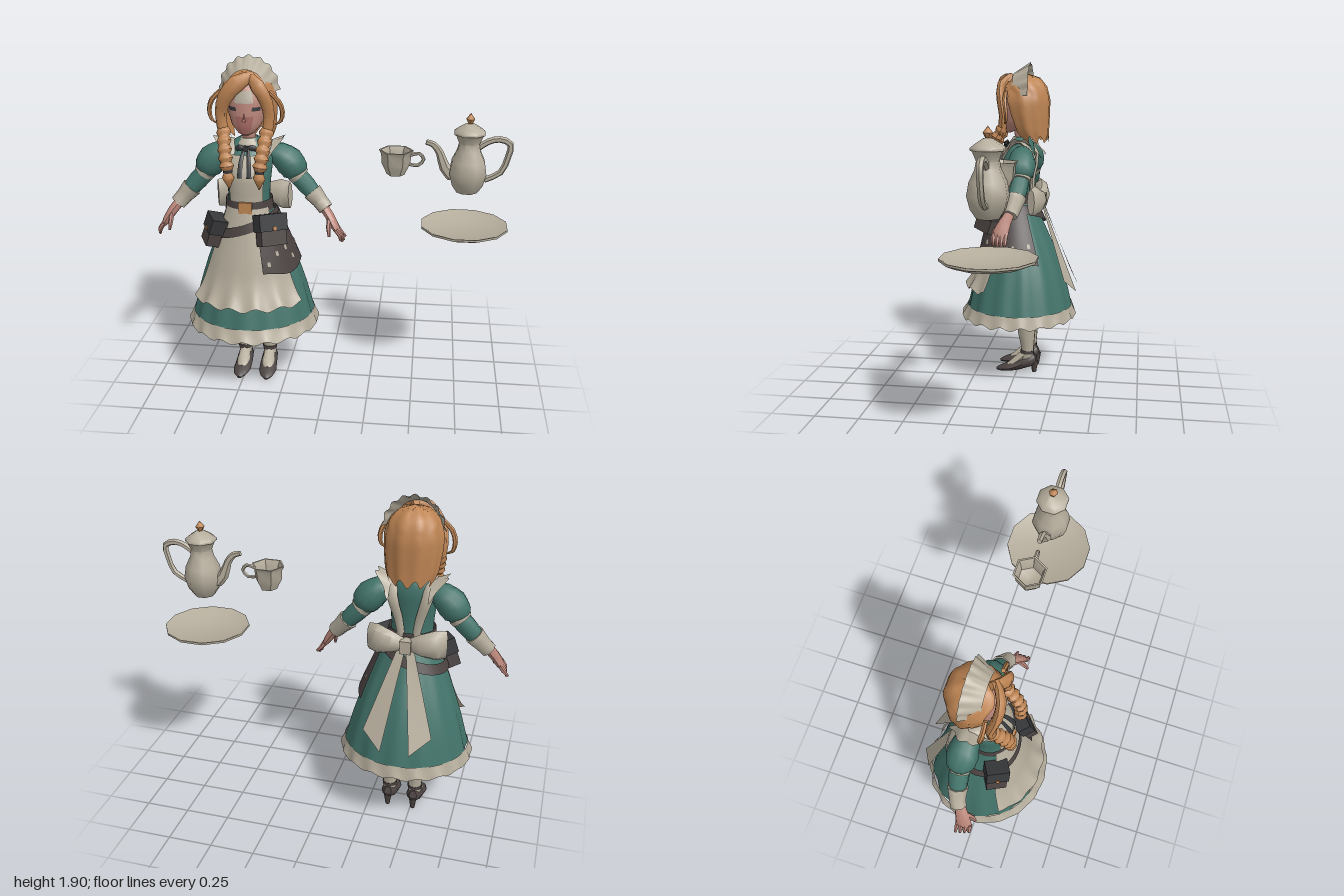
import * as THREE from 'three';
import { toCreasedNormals } from 'three/addons/utils/BufferGeometryUtils.js';

const V = (x, y, z) => new THREE.Vector3(x, y, z);
const lerp = THREE.MathUtils.lerp;

function material(name, color) {
  const m = new THREE.MeshStandardMaterial({ color, side: THREE.DoubleSide });
  m.name = name;
  return m;
}

function build(pos, idx, crease = 0.8) {
  const g = new THREE.BufferGeometry();
  g.setAttribute('position', new THREE.Float32BufferAttribute(pos, 3));
  g.setIndex(idx);
  return toCreasedNormals(g, crease);
}

// Surface from a rule fn(u, v) -> [x, y, z]
function patch(fn, nu, nv) {
  const pos = [], idx = [];
  for (let j = 0; j <= nv; j++) for (let i = 0; i <= nu; i++) pos.push(...fn(i / nu, j / nv));
  for (let j = 0; j < nv; j++) for (let i = 0; i < nu; i++) {
    const a = j * (nu + 1) + i, b = a + nu + 1;
    idx.push(a, a + 1, b, a + 1, b + 1, b);
  }
  return build(pos, idx);
}

// Capped elliptical tube along points [x, y, z, r1, r2]
function sweep(pts, n = 8, ref = V(0, 0, 1)) {
  const curve = new THREE.CatmullRomCurve3(pts.map(p => V(p[0], p[1], p[2])));
  const last = pts.length - 1, steps = last * 2, pos = [], idx = [];
  for (let i = 0; i <= steps; i++) {
    const t = i / steps, k = Math.min(Math.floor(t * last), last - 1), f = t * last - k;
    const r1 = lerp(pts[k][3], pts[k + 1][3], f);
    const r2 = lerp(pts[k][4] ?? pts[k][3], pts[k + 1][4] ?? pts[k + 1][3], f);
    const p = curve.getPoint(t), d = curve.getTangent(t);
    const u = ref.clone().cross(d).normalize(), w = d.clone().cross(u);
    for (let j = 0; j < n; j++) {
      const a = j / n * Math.PI * 2;
      const q = p.clone().addScaledVector(u, Math.cos(a) * r1).addScaledVector(w, Math.sin(a) * r2);
      pos.push(q.x, q.y, q.z);
      const c = i * n + j, e = i * n + (j + 1) % n;
      if (i < steps) idx.push(c, e, c + n, e, e + n, c + n);
    }
  }
  for (let j = 1; j < n - 1; j++) {
    const o = steps * n;
    idx.push(0, j + 1, j, o, o + j, o + j + 1);
  }
  return build(pos, idx);
}

// Point on a body whose cross-sections are rows [y, rx, rz, centreZ]; angle 0 faces front
function around(rows, a, y, off = 0) {
  let k = 0;
  while (k < rows.length - 2 && y > rows[k + 1][0]) k++;
  const f = (y - rows[k][0]) / (rows[k + 1][0] - rows[k][0]);
  const at = i => lerp(rows[k][i], rows[k + 1][i], f);
  return [Math.sin(a) * (at(1) + off), y, at(3) + Math.cos(a) * (at(2) + off)];
}
const band = (rows, a0, a1, y0, y1, off, nu = 24, nv = 8) =>
  patch((u, v) => around(rows, lerp(a0, a1, u), lerp(y0, y1, v), off), nu, nv);

const SKIRT = [[0.34, 0.375, 0.35, 0], [0.42, 0.345, 0.315, -0.01], [0.55, 0.315, 0.29, -0.01], [0.7, 0.27, 0.245, -0.01],
  [0.8, 0.235, 0.215, 0], [0.9, 0.195, 0.18, 0.01], [1, 0.155, 0.145, 0.02], [1.1, 0.12, 0.11, 0.03]];
const TORSO = [[1.04, 0.125, 0.115, 0.03], [1.12, 0.115, 0.105, 0.03], [1.2, 0.12, 0.11, 0.03], [1.28, 0.13, 0.115, 0.025],
  [1.36, 0.135, 0.1, 0], [1.42, 0.12, 0.07, -0.02], [1.46, 0.05, 0.045, -0.02]];
const HEAD = [[1.483, 0.01, 0.01, 0.06], [1.49, 0.035, 0.035, 0.055], [1.54, 0.08, 0.075, 0.03], [1.6, 0.102, 0.098, 0.008],
  [1.68, 0.112, 0.11, -0.01], [1.75, 0.09, 0.09, -0.01], [1.8, 0.01, 0.01, -0.01]];
const HAIR = [[1.42, 0.11, 0.08, -0.1], [1.5, 0.14, 0.11, -0.07], [1.6, 0.152, 0.135, -0.05], [1.68, 0.155, 0.15, -0.037],
  [1.76, 0.13, 0.13, -0.037], [1.81, 0.08, 0.085, -0.04], [1.835, 0.004, 0.004, -0.04]];
const TAU = Math.PI * 2;

export function createModel() {
  const white = material('cream cloth and china', 0xb5ad9c), teal = material('teal dress', 0x42736a);
  const brown = material('dark brown leather', 0x4b4342), black = material('black leather', 0x37383a);
  const ginger = material('ginger hair', 0xbd8453), skin = material('skin', 0xb98579), rosy = material('rosy skin', 0xa96c66);
  const model = new THREE.Group(), maid = new THREE.Group(), teaSet = new THREE.Group();
  maid.name = 'maid'; maid.position.x = -0.44;
  teaSet.name = 'teaSet'; teaSet.position.z = -0.02;
  model.add(maid, teaSet);
  let parent = maid;
  const add = (name, geo, mat, x = 0, y = 0, z = 0) => {
    const m = new THREE.Mesh(geo, mat);
    m.name = name; m.position.set(x, y, z); parent.add(m);
    return m;
  };
  const box = (w, h, d) => new THREE.BoxGeometry(w, h, d);

  // Skirt, lining and scalloped hem
  add('skirt', patch((u, v) => {
    const y = lerp(0.41, 1.09, v), a = u * TAU;
    return around(SKIRT, a, y, 0.007 * (1 - v) * Math.cos(a * 14));
  }, 84, 8), teal);
  add('skirtLining', band(SKIRT, 0, TAU, 0.38, 1, -0.018, 36, 6), white);
  add('hemRuffle', patch((u, v) => {
    const a = u * TAU, s = Math.cos(a * 18);
    return around(SKIRT, a, lerp(0.36 + 0.012 * s, 0.43, v), 0.01 + 0.01 * (1 - v) * s);
  }, 108, 3), white);

  // Apron skirt with frilled bottom, and bib
  add('apron', patch((u, v) => {
    const a = lerp(-1.02, 1.02, u), s = Math.cos(u * TAU * 5), k = (1 - v) ** 8;
    return around(SKIRT, a, lerp(0.55 + 0.015 * s, 1.09, v), 0.012 + (0.03 + 0.01 * s) * k);
  }, 50, 14), white);
  add('torso', band(TORSO, 0, TAU, 1.04, 1.46, 0, 28, 12), teal);
  add('bib', band(TORSO, -0.82, 0.82, 1.1, 1.38, 0.009, 12, 8), white);

  // Belts, buckle, hip cloth and worn spots
  add('waistBelt', band(TORSO, 0, TAU, 1.065, 1.13, 0.014, 28, 1), brown);
  add('buckle', box(0.075, 0.065, 0.015), ginger, 0, 1.098, 0.152);
  add('looseBelt', patch((u, v) => around(SKIRT, u * TAU, 0.985 + 0.06 * Math.sin(u * TAU) + 0.055 * (v - 0.5), 0.02), 36, 1), brown);
  add('hipCloth', patch((u, v) => around(SKIRT, lerp(0.38, 2.15, u), lerp(0.73 + 0.012 * Math.cos(u * 9), 1.05, v), 0.025), 20, 6), brown);
  for (const [a, y] of [[0.5, 0.78], [0.75, 0.83], [1.05, 0.85], [1.2, 0.79], [1.55, 0.81], [1.95, 0.82]])
    add('wornSpot', band(SKIRT, a, a + 0.07, y, y + 0.025, 0.029, 2, 1), white);

  // Hip pouches
  const pouch = (name, a, y, w, h, d, tilt) => {
    const g = new THREE.Group();
    g.name = name;
    g.position.set(...around(SKIRT, a, y, 0.045)); g.rotation.set(-0.3, a, tilt, 'YXZ');
    maid.add(g); parent = g;
    add('pouchBody', box(w, h, d), brown);
    add('pouchFlap', box(w + 0.015, h * 0.55, d + 0.015), black, 0, h * 0.25, 0);
    add('pouchStud', box(0.02, 0.02, 0.008), ginger, 0, h * 0.05, d / 2 + 0.009);
    parent = maid;
  };
  pouch('leftPouch', 0.75, 0.98, 0.16, 0.17, 0.06, -0.12);
  pouch('rightPouch', -1.05, 0.95, 0.11, 0.16, 0.075, -0.15);

  // Neck, collar and ribbon
  add('neck', sweep([[0, 1.42, -0.02, 0.042], [0, 1.48, -0.01, 0.036], [0, 1.54, 0, 0.036]]), skin);
  add('collar', sweep([[0, 1.41, -0.01, 0.085, 0.07], [0, 1.435, -0.012, 0.07, 0.062], [0, 1.46, -0.012, 0.045, 0.045]], 12), white);
  add('ribbonKnot', box(0.025, 0.025, 0.025), black, 0, 1.415, 0.075);

  // Head and painted face
  add('head', band(HEAD, 0, TAU, 1.483, 1.8, 0, 24, 16), skin);
  add('nose', new THREE.ConeGeometry(0.013, 0.045, 4), rosy, 0, 1.595, 0.106);
  add('lowerFace', band(HEAD, -0.5, 0.5, 1.5, 1.6, 0.003, 8, 6), rosy);
  add('brow', band(HEAD, -0.45, 0.45, 1.67, 1.735, 0.003, 8, 4), white);

  // Hair cap with an open face and jagged lower edge, plus fringe locks
  add('hairCap', patch((u, v) => {
    const y = lerp(1.45 + 0.022 * Math.cos(u * TAU * 7), 1.835, v);
    const open = 0.95 * THREE.MathUtils.clamp((1.8 - y) / 0.08, 0, 1);
    return around(HAIR, lerp(open, TAU - open, u), y, 0.003 * Math.cos(u * TAU * 7));
  }, 56, 14), ginger);
  add('rightFringe', sweep([[0.05, 1.81, 0.05, 0.025, 0.02], [-0.03, 1.78, 0.105, 0.045, 0.025], [-0.1, 1.7, 0.105, 0.04, 0.025],
    [-0.13, 1.6, 0.08, 0.032, 0.025], [-0.115, 1.48, 0.09, 0.028, 0.025]]), ginger);
  add('leftFringe', sweep([[0.01, 1.82, 0.04, 0.02, 0.02], [0.075, 1.765, 0.095, 0.04, 0.025], [0.12, 1.68, 0.09, 0.035, 0.025],
    [0.13, 1.59, 0.075, 0.03, 0.025], [0.115, 1.48, 0.09, 0.028, 0.025]]), ginger);

  // Frilled headdress leaning back
  add('headdress', patch((u, v) => {
    const t = lerp(-1.5, 1.5, u), r = 0.135 + v * (0.058 + 0.007 * Math.cos(u * TAU * 8));
    return [Math.sin(t) * r * 0.86, 1.7 + Math.cos(t) * r, 0.03 - 0.1 * v];
  }, 48, 3), white);

  for (const s of [1, -1]) {
    const side = s > 0 ? 'left' : 'right';
    const limb = (name, pts, mat, n, ref) => add(side + name, sweep(pts.map(p => [p[0] * s, ...p.slice(1)]), n, ref), mat);

    // Eye, curl and braid
    add(side + 'Eye', band(HEAD, s * 0.4, s * 0.88, 1.628, 1.648, 0.004, 4, 1), black);
    limb('Curl', [[0.13, 1.73, 0.06, 0.012], [0.18, 1.68, 0.06, 0.014], [0.2, 1.62, 0.05, 0.013], [0.19, 1.57, 0.05, 0.01], [0.16, 1.55, 0.06, 0.004]], ginger, 6);
    const braid = [];
    for (let i = 0; i <= 10; i++) {
      const t = i / 10, r = i % 2 ? 0.042 : 0.03;
      braid.push([lerp(0.12, 0.088, t), lerp(1.53, 1.32, t), 0.075 + 0.09 * Math.sin(t * 1.6), r, r * 0.85]);
    }
    limb('Braid', braid, ginger);
    limb('BraidTie', [[0.087, 1.335, 0.165, 0.026], [0.086, 1.305, 0.165, 0.026]], black);
    limb('BraidTuft', [[0.086, 1.31, 0.165, 0.02], [0.085, 1.275, 0.165, 0.034], [0.082, 1.21, 0.16, 0.003]], ginger);

    // Ribbon loop and tail
    limb('RibbonLoop', [[0.005, 1.415, 0.075, 0.008], [0.035, 1.42, 0.075, 0.018, 0.01], [0.055, 1.41, 0.07, 0.012, 0.006]], black);
    limb('RibbonTail', [[0.012, 1.41, 0.08, 0.008, 0.004], [0.022, 1.35, 0.125, 0.012, 0.004], [0.026, 1.27, 0.155, 0.014, 0.004]], black, 4);

    // Apron strap and shoulder frill
    limb('Strap', [[0.085, 1.34, 0.085, 0.012, 0.03], [0.1, 1.42, 0.035, 0.012, 0.03], [0.105, 1.435, -0.03, 0.012, 0.03],
      [0.095, 1.35, -0.1, 0.012, 0.03], [0.06, 1.22, -0.085, 0.01, 0.025], [0.04, 1.11, -0.08, 0.01, 0.02]], white, 8, V(1, 0, 0));
    add(side + 'ShoulderFrill', patch((u, v) => {
      const k = Math.sin(Math.PI * v), w = 0.012 * u * Math.cos(v * TAU * 3);
      return [s * (0.105 + 0.09 * u * k + w), 1.34 + 0.095 * k + 0.03 * u * k + w, lerp(0.09, -0.15, v)];
    }, 3, 18), white);

    // Puffed sleeve, forearm, cuff and hand
    limb('PuffSleeve', [[0.1, 1.37, -0.03, 0.045], [0.16, 1.355, -0.04, 0.07], [0.215, 1.315, -0.045, 0.085], [0.25, 1.265, -0.045, 0.077], [0.265, 1.235, -0.045, 0.05]], teal, 12);
    limb('SleeveBand', [[0.258, 1.25, -0.045, 0.062], [0.275, 1.23, -0.045, 0.06]], white, 12);
    limb('Forearm', [[0.24, 1.26, -0.045, 0.055], [0.31, 1.185, -0.04, 0.054], [0.385, 1.1, -0.025, 0.042]], teal, 10);
    limb('Cuff', [[0.345, 1.145, -0.035, 0.058], [0.39, 1.095, -0.025, 0.047], [0.425, 1.055, -0.01, 0.045]], white, 8);
    limb('Palm', [[0.41, 1.07, -0.01, 0.028], [0.45, 1.02, 0.015, 0.027, 0.036], [0.485, 0.965, 0.035, 0.022, 0.045], [0.5, 0.94, 0.04, 0.015, 0.04]], skin);
    for (let i = 0; i < 4; i++) {
      const z = 0.005 + i * 0.023, tip = i === 0 || i === 3 ? 0.9 : 0.885;
      limb('Finger', [[0.49, 0.96, z, 0.013], [0.515, 0.925, z, 0.012], [0.54 - i * 0.008, tip, z, 0.007]], skin, 6);
    }
    limb('Thumb', [[0.45, 1.02, 0.03, 0.015], [0.45, 0.97, 0.075, 0.013], [0.455, 0.925, 0.09, 0.007]], skin, 6);

    // Bow loop and trailing sash
    limb('BowLoop', [[0.005, 1.08, -0.12, 0.03, 0.02], [0.08, 1.09, -0.135, 0.065, 0.045], [0.16, 1.095, -0.12, 0.088, 0.05], [0.21, 1.095, -0.1, 0.08, 0.025]], white);
    add(side + 'Sash', patch((u, v) => [s * lerp(lerp(0.08, 0.19, u), lerp(0, 0.04, u), v),
      lerp(lerp(0.53, 0.62, u), 1.08, v), lerp(lerp(-0.365, -0.3, u), -0.14, v)], 2, 4), white);

    // Stocking, shoe, heel and ankle strap
    limb('Stocking', [[0.06, 0.6, -0.05, 0.07], [0.07, 0.36, -0.06, 0.062], [0.073, 0.26, -0.062, 0.055], [0.075, 0.16, -0.068, 0.04], [0.075, 0.1, -0.065, 0.038], [0.075, 0.06, -0.05, 0.035]], white, 10);
    limb('Instep', [[0.075, 0.12, -0.06, 0.032], [0.076, 0.07, 0, 0.036, 0.026], [0.078, 0.04, 0.05, 0.03, 0.015]], white, 8, V(0, 1, 0));
    limb('Shoe', [[0.075, 0.09, -0.12, 0.022, 0.03], [0.075, 0.075, -0.08, 0.045, 0.04], [0.075, 0.045, -0.01, 0.05, 0.034],
      [0.078, 0.027, 0.05, 0.052, 0.026], [0.08, 0.017, 0.1, 0.036, 0.016], [0.08, 0.01, 0.126, 0.01, 0.008]], brown, 10, V(0, 1, 0));
    add(side + 'Heel', new THREE.CylinderGeometry(0.025, 0.013, 0.075, 6), brown, s * 0.075, 0.0375, -0.11);
    limb('AnkleStrap', [[0.075, 0.142, -0.067, 0.043], [0.075, 0.122, -0.066, 0.043]], brown, 10);
  }
  add('bowKnot', box(0.06, 0.075, 0.06), white, 0, 1.08, -0.14);

  // Teapot, cup and tray
  parent = teaSet;
  const lathe = (pts, n, turn = 0) => toCreasedNormals(new THREE.LatheGeometry(pts.map(p => new THREE.Vector2(...p)), n, turn), 0.9);
  add('teapotBody', lathe([[0, 1.185], [0.06, 1.185], [0.09, 1.23], [0.107, 1.295], [0.095, 1.36], [0.066, 1.42], [0.058, 1.46], [0.075, 1.5], [0.085, 1.515]], 8, Math.PI / 8), white, 0.76);
  add('teapotLid', lathe([[0.088, 1.51], [0.088, 1.522], [0.065, 1.54], [0.025, 1.565], [0, 1.57]], 8, Math.PI / 8), white, 0.76);
  add('lidKnob', lathe([[0, 1.555], [0.012, 1.565], [0.025, 1.592], [0, 1.625]], 6), ginger, 0.76);
  add('spout', sweep([[0.68, 1.27, 0, 0.035], [0.635, 1.32, 0, 0.03], [0.605, 1.4, 0, 0.021], [0.57, 1.445, 0, 0.018], [0.53, 1.458, 0, 0.015]], 6), white);
  add('teapotHandle', sweep([[0.81, 1.435, 0, 0.018], [0.86, 1.47, 0, 0.018], [0.92, 1.485, 0, 0.018], [0.978, 1.46, 0, 0.018],
    [0.97, 1.39, 0, 0.017], [0.935, 1.3, 0, 0.017], [0.85, 1.255, 0, 0.017]], 6), white);
  add('cup', lathe([[0, 1.27], [0.05, 1.27], [0.058, 1.29], [0.078, 1.33], [0.082, 1.385], [0.095, 1.408], [0.085, 1.408], [0.072, 1.38], [0.065, 1.33], [0, 1.3]], 6, Math.PI / 6), white, 0.37);
  add('cupHandle', sweep([[0.445, 1.38, 0, 0.01], [0.495, 1.392, 0, 0.01], [0.52, 1.36, 0, 0.01], [0.49, 1.325, 0, 0.01], [0.44, 1.33, 0, 0.01]], 6), white);
  add('tray', lathe([[0, 0.957], [0.19, 0.957], [0.243, 0.98], [0.243, 0.992], [0.232, 0.99], [0.185, 0.968], [0, 0.968]], 12, Math.PI / 12), white, 0.757);
  return model;
}
